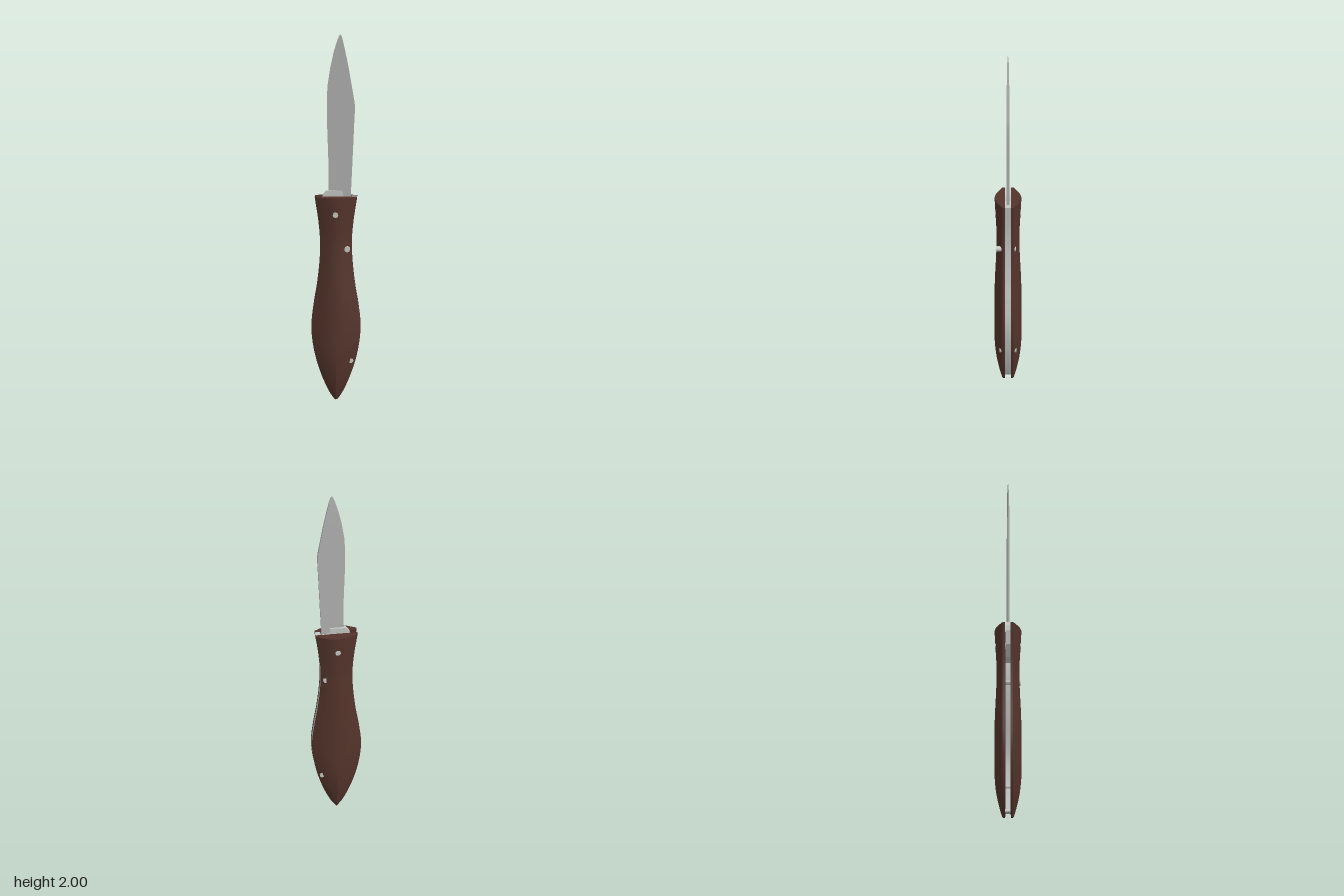
import * as THREE from 'three';
import { toCreasedNormals } from 'three/addons/utils/BufferGeometryUtils.js';

// Skin a stack of equal-length rings (bottom to top) into a closed solid
function loft(rings, flip = false, crease = 0.45) {
  const n = rings[0].length;
  const index = [];
  const tri = (a, b, c) => (flip ? index.push(a, c, b) : index.push(a, b, c));
  for (let j = 0; j < rings.length - 1; j++) {
    for (let i = 0; i < n; i++) {
      const a = j * n + i, b = j * n + (i + 1) % n;
      tri(a, a + n, b + n);
      tri(a, b + n, b);
    }
  }
  const top = (rings.length - 1) * n;
  for (let i = 1; i < n - 1; i++) {
    tri(0, i, i + 1);
    tri(top, top + i + 1, top + i);
  }
  const g = new THREE.BufferGeometry();
  g.setAttribute('position', new THREE.Float32BufferAttribute(rings.flat(2), 3));
  g.setIndex(index);
  return toCreasedNormals(g, crease);
}

export function createModel() {
  const group = new THREE.Group();
  const mat = (name, color) => new THREE.MeshStandardMaterial({ name, color });
  const wood = mat('dark wood', 0x54342b);
  const steel = mat('blade steel', 0xb0b0b0);
  const bright = mat('bright metal', 0xc4c6c4);
  const add = (name, geometry, material) => {
    const m = new THREE.Mesh(geometry, material);
    m.name = name;
    group.add(m);
    return m;
  };

  // Handle profile: height, half width, outer depth
  const profile = new THREE.CatmullRomCurve3([
    [0.008, 0, 0.03], [0.035, 0.04, 0.042], [0.08, 0.14, 0.063], [0.115, 0.255, 0.073],
    [0.133, 0.39, 0.073], [0.121, 0.52, 0.073], [0.103, 0.63, 0.07], [0.089, 0.76, 0.064],
    [0.086, 0.87, 0.061], [0.095, 0.98, 0.066], [0.115, 1.112, 0.073],
  ].map(p => new THREE.Vector3(...p)));
  const rows = profile.getPoints(44);
  const INNER = 0.015;

  // Two wooden scales, bowed outward
  const across = [[1, 0], [0.78, 0.33], [0.4, 0.8], [0, 1], [-0.4, 0.8], [-0.78, 0.33], [-1, 0]];
  for (const s of [1, -1]) {
    const rings = rows.map(({ x: w, y, z: d }) => {
      const edge = Math.min(0.029, INNER + (d - INNER) * 0.3);
      const outer = across.map(([u, v]) => [u * w, y, s * (edge + (d - edge) * v)]);
      return [...outer, [-w, y, s * INNER], [w, y, s * INNER]];
    });
    add(s > 0 ? 'frontScale' : 'backScale', loft(rings, s < 0, 0.4), wood);
  }

  // Back spacer following the right-hand handle edge
  const spine = rows.filter(p => p.y > 0.028);
  add('backSpacer', loft(spine.map(({ x: w, y }) => {
    const x0 = w - 0.03, x1 = w - 0.001;
    return [[x1, y, INNER], [x0, y, INNER], [x0, y, -INNER], [x1, y, -INNER]];
  })), bright);

  // Blade: height, cutting edge x, spine x, spine half thickness
  const bladeRows = [
    [1.05, -0.04, 0.077, 0.008], [1.3, -0.041, 0.089, 0.008], [1.5, -0.048, 0.098, 0.008],
    [1.6, -0.05, 0.103, 0.008], [1.63, -0.05, 0.1, 0.008], [1.72, -0.046, 0.085, 0.0075],
    [1.82, -0.031, 0.068, 0.007], [1.91, -0.011, 0.05, 0.006], [1.97, 0.007, 0.037, 0.004],
    [1.993, 0.016, 0.03, 0.002], [2, 0.021, 0.026, 0.001],
  ];
  add('blade', loft(bladeRows.map(([y, e, b, t]) => [
    [b, y, t], [e, y, 0.001], [e, y, -0.001], [b, y, -t],
  ])), steel);

  // Tang between the scales, with a low shoulder above the handle
  const tang = new THREE.Shape([
    [-0.04, 0.94], [0.04, 0.94], [0.075, 1.0], [0.078, 1.11], [0.04, 1.112],
    [0.035, 1.145], [-0.052, 1.143], [-0.073, 1.115], [-0.083, 1.08], [-0.075, 1.0],
  ].map(p => new THREE.Vector2(...p)));
  const tangGeometry = new THREE.ExtrudeGeometry(tang, { depth: 0.026, bevelEnabled: false });
  add('tang', tangGeometry.translate(0, 0, -0.013), bright);

  // Through pins and the protruding release stud: x, y, radius, back z, front z
  const pins = [
    ['pivotPin', -0.002, 1.02, 0.015, -0.07, 0.071],
    ['releaseStud', 0.061, 0.83, 0.015, -0.044, 0.066],
    ['lowerPin', 0.081, 0.215, 0.013, -0.046, 0.046],
  ];
  for (const [name, x, y, r, z0, z1] of pins) {
    const g = new THREE.CylinderGeometry(r, r, z1 - z0, 16).rotateX(Math.PI / 2);
    add(name, g, bright).position.set(x, y, (z0 + z1) / 2);
  }
  return group;
}
